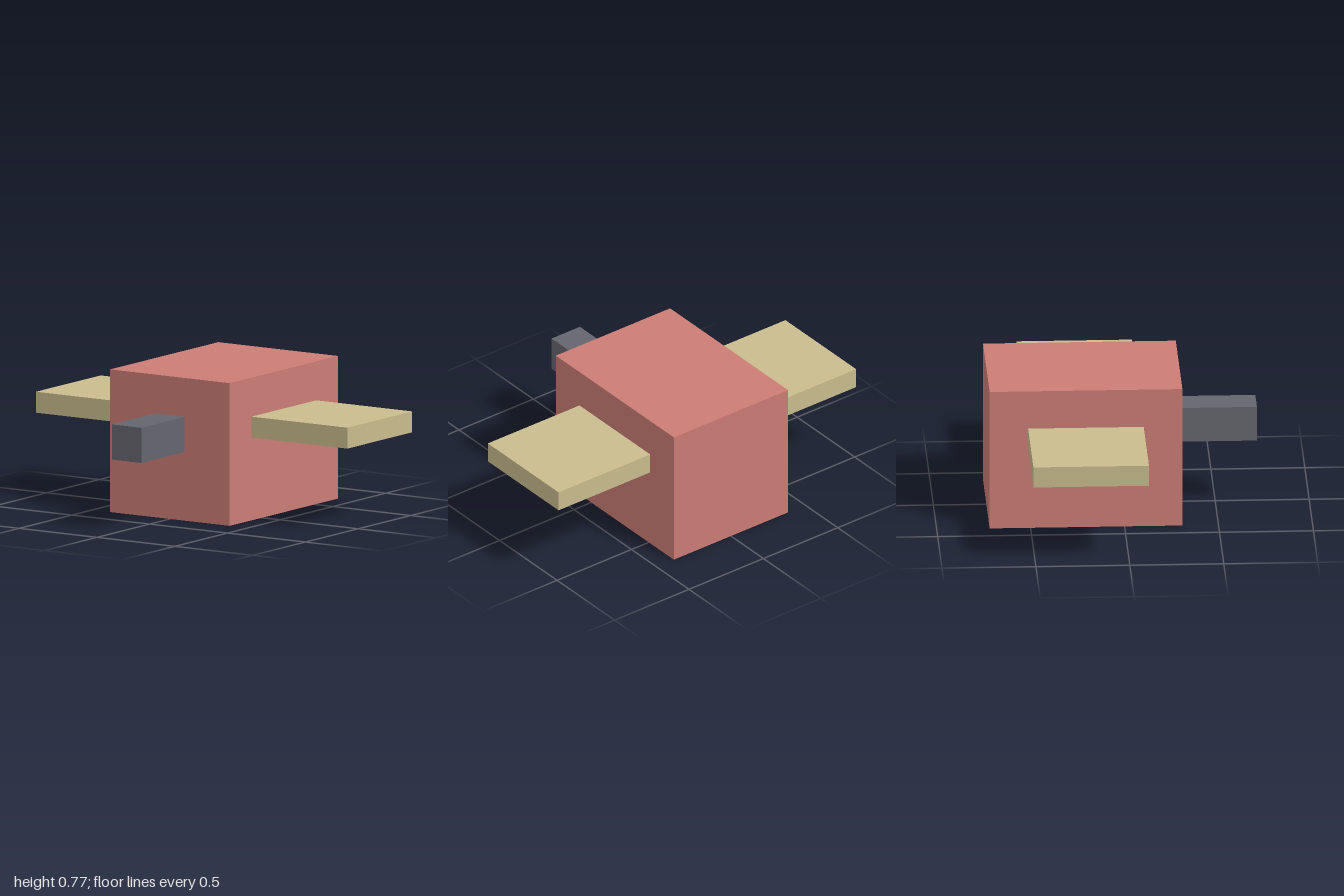
import * as THREE from 'three';

export function createModel() {
  const model = new THREE.Group();
  const red = new THREE.MeshStandardMaterial({ color: 0xcb7c75 });
  red.name = 'dusty red';
  const tan = new THREE.MeshStandardMaterial({ color: 0xc9bb8d });
  tan.name = 'sand';
  const grey = new THREE.MeshStandardMaterial({ color: 0x65656e });
  grey.name = 'slate grey';

  // Box given by its lower and upper corners
  const addBox = (name, material, [x0, y0, z0], [x1, y1, z1]) => {
    const mesh = new THREE.Mesh(new THREE.BoxGeometry(x1 - x0, y1 - y0, z1 - z0), material);
    mesh.position.set((x0 + x1) / 2, (y0 + y1) / 2, (z0 + z1) / 2);
    mesh.name = name;
    model.add(mesh);
  };

  // Main block
  addBox('body', red, [-0.384, 0, -0.718], [0.384, 0.77, 0.308]);

  // Flat side panels
  addBox('leftWing', tan, [0.384, 0.447, -0.513], [1, 0.56, 0.102]);
  addBox('rightWing', tan, [-1, 0.447, -0.513], [-0.384, 0.56, 0.102]);

  // Square nose bar at the front
  addBox('nose', grey, [-0.095, 0.37, 0.308], [0.095, 0.56, 0.718]);

  return model;
}
